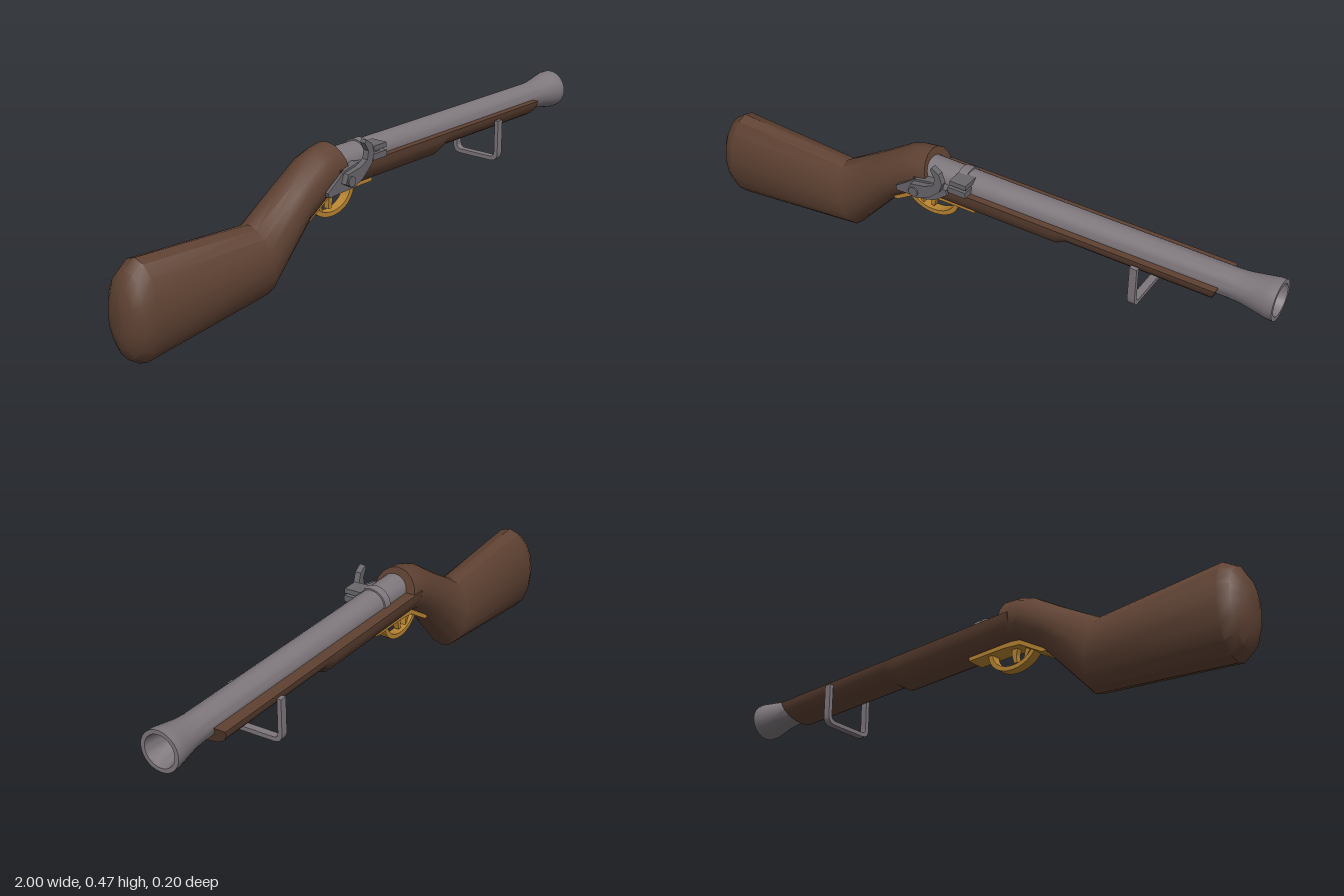
import * as THREE from 'three';
import { toCreasedNormals } from 'three/addons/utils/BufferGeometryUtils.js';

const material = (name, color) => Object.assign(new THREE.MeshStandardMaterial({ color }), { name });

const MID_Z = -0.008; // centre line of the wooden stock

// Skins elliptical sections [topX, topY, bottomX, bottomY, halfWidth], ordered along +x
function loft(sections, angles) {
  const n = angles.length, pos = [], idx = [];
  for (const [tx, ty, bx, by, hw] of sections) {
    for (const t of angles) {
      const c = Math.cos(t) / 2;
      pos.push((tx + bx) / 2 + (tx - bx) * c, (ty + by) / 2 + (ty - by) * c, MID_Z + hw * Math.sin(t));
    }
  }
  for (let i = 0; i < sections.length - 1; i++) {
    for (let k = 0; k < n; k++) {
      const a = i * n + k, b = i * n + (k + 1) % n;
      idx.push(a, b, a + n, b, b + n, a + n);
    }
  }
  const last = (sections.length - 1) * n;
  for (let k = 1; k < n - 1; k++) {
    idx.push(0, k + 1, k, last, last + k, last + k + 1);
  }
  const g = new THREE.BufferGeometry();
  g.setAttribute('position', new THREE.Float32BufferAttribute(pos, 3));
  g.setIndex(idx);
  return toCreasedNormals(g, 0.55);
}

// Flat outline in the side plane, extruded from z0 by depth
function sidePlate(points, z0, depth) {
  const shape = new THREE.Shape(points.map(([x, y]) => new THREE.Vector2(x, y)));
  return new THREE.ExtrudeGeometry(shape, { depth, bevelEnabled: false }).translate(0, 0, z0);
}

export function createModel() {
  const model = new THREE.Group();
  const wood = material('wood', 0x5f4233);
  const steel = material('steel', 0x7e777c);
  const darkSteel = material('dark steel', 0x69676b);
  const brass = material('brass', 0xb98532);

  const add = (name, geometry, mat) => {
    const mesh = new THREE.Mesh(geometry, mat);
    mesh.name = name;
    model.add(mesh);
    return mesh;
  };
  const box = (name, mat, x0, x1, y0, y1, z0, z1) =>
    add(name, new THREE.BoxGeometry(x1 - x0, y1 - y0, z1 - z0)
      .translate((x0 + x1) / 2, (y0 + y1) / 2, (z0 + z1) / 2), mat);

  // Butt and wrist
  const round = Array.from({ length: 16 }, (_, k) => k * Math.PI / 8);
  add('buttStock', loft([
    [-1, 0.2, -1, 0.11, 0.026],
    [-0.99, 0.248, -0.99, 0.065, 0.052],
    [-0.967, 0.29, -0.972, 0.03, 0.075],
    [-0.93, 0.315, -0.935, 0.006, 0.089],
    [-0.505, 0.289, -0.457, 0.06, 0.081],
    [-0.366, 0.37, -0.29, 0.245, 0.077],
    [-0.26, 0.438, -0.2, 0.3, 0.075],
    [-0.215, 0.454, -0.165, 0.305, 0.074],
    [-0.168, 0.461, -0.125, 0.307, 0.073],
  ], round), wood);

  // Half-round fore-end with a step underneath
  const lower = Array.from({ length: 13 }, (_, k) => Math.PI / 2 + k * Math.PI / 12);
  const foreSection = (x, drop, slant = 0) => [x + slant, 0.39 + drop, x - slant, 0.39 - drop, 0.077];
  add('foreStock', loft([
    foreSection(-0.19, 0.085),
    foreSection(0.3, 0.085),
    foreSection(0.34, 0.06),
    foreSection(0.832, 0.06, 0.022),
  ], lower), wood);

  // Barrel with flared mouth and hollow bore
  const barrelProfile = [
    [0, -0.16], [0.049, -0.16], [0.047, 0.1], [0.046, 0.86], [0.049, 0.9], [0.056, 0.94],
    [0.061, 0.968], [0.063, 0.98], [0.063, 1], [0.05, 1], [0.043, 0.965], [0.033, 0.925],
    [0.023, 0.89], [0.023, -0.1], [0, -0.1],
  ].map(([r, y]) => new THREE.Vector2(r, y));
  add('barrel', toCreasedNormals(
    new THREE.LatheGeometry(barrelProfile, 28).rotateZ(-Math.PI / 2).translate(0, 0.39, 0), 0.6), steel);
  add('barrelBand', new THREE.CylinderGeometry(0.053, 0.053, 0.03, 28)
    .rotateZ(Math.PI / 2).translate(-0.035, 0.39, 0), steel);

  // Lock plate, hammer and priming pan on the left side
  add('lockPlate', sidePlate([
    [-0.254, 0.337], [-0.249, 0.321], [-0.147, 0.326], [-0.11, 0.337], [-0.061, 0.374],
    [-0.067, 0.39], [-0.12, 0.401], [-0.179, 0.39], [-0.222, 0.358],
  ], 0.045, 0.03), darkSteel);
  add('hammer', sidePlate([
    [-0.195, 0.353], [-0.163, 0.335], [-0.12, 0.353], [-0.078, 0.39], [-0.067, 0.422],
    [-0.078, 0.455], [-0.104, 0.472], [-0.11, 0.462], [-0.094, 0.435], [-0.099, 0.408],
    [-0.131, 0.392], [-0.184, 0.382],
  ], 0.074, 0.02), darkSteel);
  add('hammerScrew', new THREE.CylinderGeometry(0.016, 0.016, 0.025, 16)
    .rotateX(Math.PI / 2).translate(-0.172, 0.358, 0.0865), darkSteel);
  box('panBase', darkSteel, -0.055, 0.008, 0.392, 0.412, 0.03, 0.08);
  box('panCover', darkSteel, -0.05, 0.008, 0.42, 0.436, 0.02, 0.078);
  box('panHinge', darkSteel, -0.03, -0.012, 0.4, 0.43, 0.04, 0.068);

  // Brass plate under the stock
  add('guardPlate', sidePlate([
    [-0.31, 0.238], [-0.285, 0.24], [-0.2, 0.292], [-0.14, 0.299], [0.005, 0.3],
    [0.005, 0.316], [-0.14, 0.316], [-0.21, 0.312], [-0.31, 0.252],
  ], MID_Z - 0.031, 0.062), brass);

  // Trigger guard bow
  const bow = new THREE.Shape();
  bow.absellipse(-0.162, 0.302, 0.098, 0.076, Math.PI, 2 * Math.PI, false);
  const bowInner = new THREE.Path();
  bowInner.absellipse(-0.162, 0.302, 0.082, 0.061, 0, -Math.PI, true);
  const bowShape = new THREE.Shape([...bow.getPoints(20), ...bowInner.getPoints(20)]);
  add('triggerGuard', new THREE.ExtrudeGeometry(bowShape, { depth: 0.032, bevelEnabled: false })
    .translate(0, 0, MID_Z - 0.016), brass);

  // Trigger and the strut behind it
  add('trigger', sidePlate([
    [-0.178, 0.305], [-0.17, 0.275], [-0.172, 0.25], [-0.16, 0.248], [-0.153, 0.275], [-0.152, 0.305],
  ], MID_Z - 0.009, 0.018), brass);
  add('guardStrut', sidePlate([
    [-0.235, 0.29], [-0.212, 0.262], [-0.208, 0.242], [-0.198, 0.24], [-0.202, 0.268], [-0.212, 0.3],
  ], MID_Z - 0.009, 0.018), brass);

  // Sling loop around the fore-end
  const sling = new THREE.Shape();
  const w = 0.092, t = 0.014, r = 0.03, y0 = 0.237, y1 = 0.378, i = w - t, b = y0 + t, q = 0.018;
  sling.moveTo(-w, y1);
  sling.lineTo(-w, y0 + r);
  sling.quadraticCurveTo(-w, y0, -w + r, y0);
  sling.lineTo(w - r, y0);
  sling.quadraticCurveTo(w, y0, w, y0 + r);
  sling.lineTo(w, y1);
  sling.lineTo(i, y1);
  sling.lineTo(i, b + q);
  sling.quadraticCurveTo(i, b, i - q, b);
  sling.lineTo(-i + q, b);
  sling.quadraticCurveTo(-i, b, -i, b + q);
  sling.lineTo(-i, y1);
  add('slingLoop', new THREE.ExtrudeGeometry(sling, { depth: 0.024, bevelEnabled: false, curveSegments: 5 })
    .rotateY(-Math.PI / 2).translate(0.597, 0, -0.005), steel);

  return model;
}
